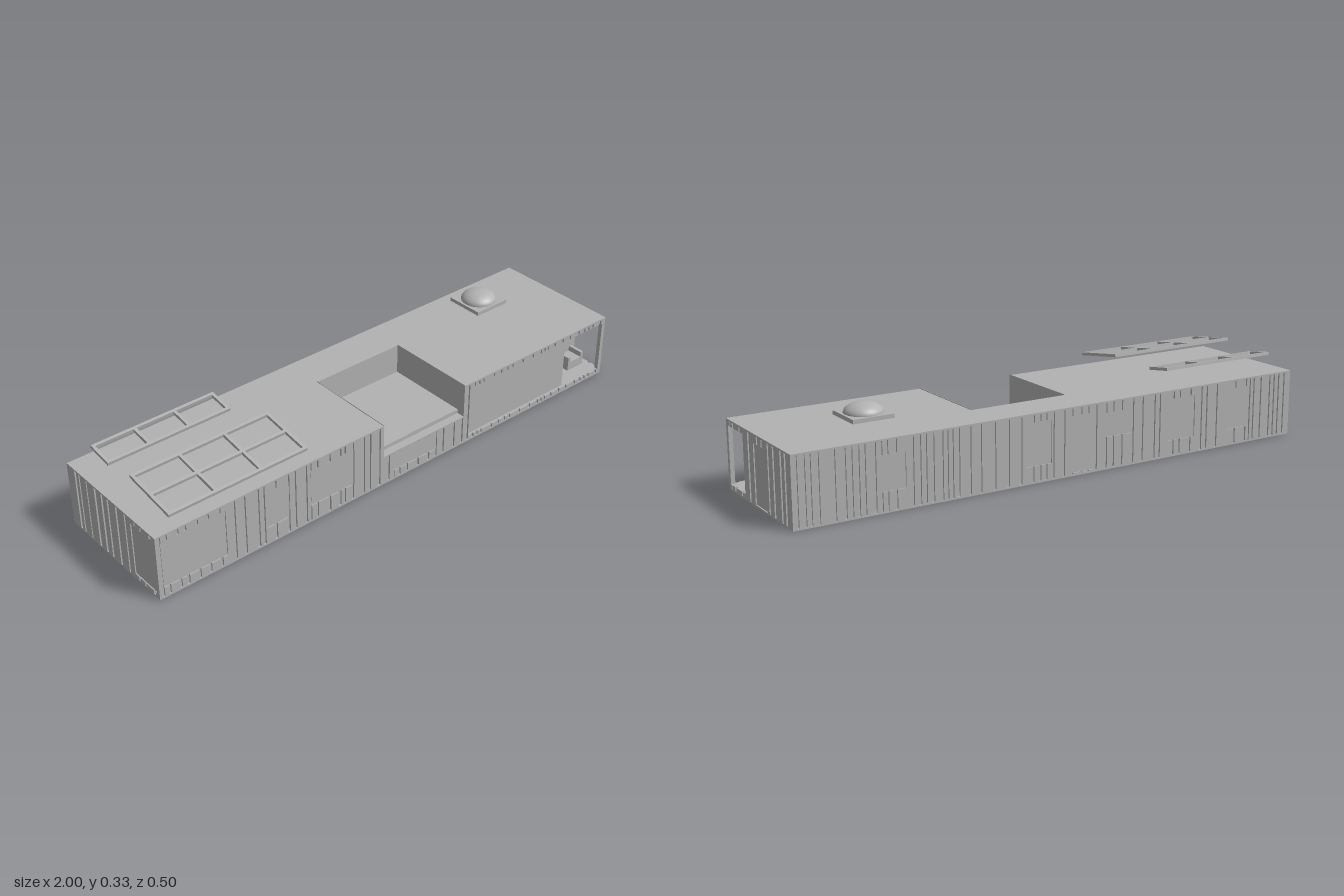
import * as THREE from 'three';

export function createModel() {
  const model = new THREE.Group();
  model.name = 'longHouse';
  const grey = new THREE.MeshStandardMaterial({ color: 0xb2b2b2 });
  grey.name = 'plainGrey';

  // Box given by its min and max on each axis
  function box(name, x0, x1, y0, y1, z0, z1, parent = model) {
    const m = new THREE.Mesh(new THREE.BoxGeometry(x1 - x0, y1 - y0, z1 - z0), grey);
    m.position.set((x0 + x1) / 2, (y0 + y1) / 2, (z0 + z1) / 2);
    m.name = name;
    parent.add(m);
    return m;
  }
  let seed = 7;
  const rand = () => (seed = (seed * 16807) % 2147483647) / 2147483647;

  const H = 0.242, B = 0.006, R = 0.236; // roof top, floor plate top, roof underside
  const C = 0.244, E = 0.994;            // wall core faces behind the cladding

  // Floor and roof plates
  box('floorPlate', -1, 1, 0, B, -0.25, 0.25);
  box('roofWest', -1, -0.09, R, H, -0.25, 0.25);
  box('roofMiddle', -0.09, 0.28, R, H, -0.25, -0.1);
  box('roofEast', 0.28, 1, R, H, -0.25, 0.25);

  // Wall cores
  box('westCore', -E, -0.09, B, R, -C, C);
  box('middleRearCore', -0.09, 0.28, B, R, -C, -0.1);
  box('terraceFloor', -0.09, 0.28, B, 0.13, -0.1, 0.22);
  box('terraceStepCore', -0.09, 0.28, B, 0.109, 0.22, C);
  box('terraceStep', -0.09, 0.28, 0.109, 0.115, 0.22, 0.25);
  box('eastRearCore', 0.28, E, B, R, -C, 0.115);
  box('bigWindow', 0.31, 0.8, 0.02, 0.22, 0.115, 0.238);
  box('eastPier', 0.28, 0.31, B, R, 0.115, C);
  box('eastSill', 0.31, E, B, 0.02, 0.115, C);
  box('eastLintel', 0.31, E, 0.22, R, 0.115, C);
  box('cornerPost', 0.985, 1, B, R, 0.235, 0.25);

  // Thin trims on the terrace side walls
  for (const x of [-0.092, 0.28]) box('terraceTrim', x, x + 0.002, 0.23, 0.245, -0.1, 0.25);

  // Openings per wall: [u0, u1, y0, y1, hasPanel], u running along the wall
  const walls = {
    front: [
      [-0.98, -0.74, 0.04, 0.215, 1], [-0.58, -0.49, 0.065, 0.205, 1],
      [-0.4, -0.22, 0.065, 0.205, 1], [-0.04, 0.155, 0.035, 0.105, 1],
      [-0.09, 0.28, 0.109, 0.25, 0], [0.31, 0.985, 0.02, 0.22, 0],
    ],
    back: [
      [0.61, 0.7, 0.07, 0.19, 1], [0.06, 0.165, 0.06, 0.21, 1],
      [-0.115, -0.02, 0.01, 0.21, 1], [-0.275, -0.16, 0.115, 0.2, 1],
      [-0.55, -0.43, 0.06, 0.21, 1], [-0.805, -0.7, 0.06, 0.21, 1],
    ],
    right: [[-0.063, 0.032, 0.006, 0.21, 1], [0.115, 0.235, 0.02, 0.22, 0]],
    left: [[0.115, 0.235, 0.02, 0.22, 1]],
  };

  // Places a slab on a wall, standing out by depth d from the core
  function onWall(side, name, u0, u1, y0, y1, d, parent) {
    if (side === 'front') box(name, u0, u1, y0, y1, C, C + d, parent);
    if (side === 'back') box(name, u0, u1, y0, y1, -C - d, -C, parent);
    if (side === 'right') box(name, E, E + d, y0, y1, u0, u1, parent);
    if (side === 'left') box(name, -E - d, -E, y0, y1, u0, u1, parent);
  }

  // Irregular vertical planks, cut around the openings
  for (const [side, openings] of Object.entries(walls)) {
    const cladding = new THREE.Group();
    cladding.name = side + 'Cladding';
    model.add(cladding);
    const end = side === 'front' || side === 'back' ? 1 : 0.25;
    const cuts = [-end, end, ...openings.flatMap(o => [o[0], o[1]])].sort((a, b) => a - b);
    for (let i = 0; i + 1 < cuts.length; i++) {
      const [a, b] = [cuts[i], cuts[i + 1]];
      if (b - a < 0.003) continue;
      // Vertical spans left free between a and b
      let spans = [[B, R]];
      for (const o of openings) {
        if (o[0] > a + 0.001 || o[1] < b - 0.001) continue;
        spans = spans.flatMap(([s, t]) => [[s, Math.min(t, o[2])], [Math.max(s, o[3]), t]])
          .filter(([s, t]) => t - s > 0.002);
      }
      for (let u = a; u < b;) {
        const w = Math.min(0.012 + 0.034 * rand() ** 1.5, b - u);
        for (const [s, t] of spans) onWall(side, 'plank', u, u + w, s, t, 0.006, cladding);
        u += w + 0.005 + 0.007 * rand();
      }
    }
    for (const o of openings) {
      if (o[4]) onWall(side, 'windowPanel', o[0], o[1], o[2], o[3], 0.002, model);
    }
  }

  // Armchair on the corner porch
  const chair = new THREE.Group();
  chair.name = 'armchair';
  model.add(chair);
  box('chairSeat', 0.903, 0.957, 0.02, 0.055, 0.125, 0.185, chair);
  box('chairBack', 0.89, 0.97, 0.02, 0.112, 0.115, 0.125, chair);
  for (const x of [0.89, 0.957]) box('chairArm', x, x + 0.013, 0.02, 0.075, 0.125, 0.185, chair);

  // Tilted open frames above the roof, split into cells
  function roofFrame(name, x0, x1, depth, rows, y, z, tilt) {
    const g = new THREE.Group();
    g.name = name;
    const t = 0.0055, h = 0.0055;
    for (let i = 0; i <= 3; i++) {
      const x = x0 + t + (x1 - x0 - 2 * t) * i / 3;
      box('frameBar', x - t, x + t, -h, h, -depth / 2, depth / 2, g);
    }
    for (let j = 0; j <= rows; j++) {
      const c = -depth / 2 + t + (depth - 2 * t) * j / rows;
      box('frameRail', x0, x1, -h, h, c - t, c + t, g);
    }
    g.position.set(0, y, z);
    g.rotation.x = tilt;
    model.add(g);
  }
  roofFrame('largeRoofFrame', -0.935, -0.403, 0.21, 2, 0.302, 0.132, 0.15);
  roofFrame('smallRoofFrame', -0.935, -0.46, 0.1, 1, 0.297, -0.15, 0.15);

  // Domed skylight on a square base
  box('skylightBase', 0.602, 0.748, 0.278, 0.292, -0.166, -0.02);
  const dome = new THREE.Mesh(new THREE.SphereGeometry(1, 40, 14, 0, Math.PI * 2, 0, Math.PI / 2), grey);
  dome.name = 'skylightDome';
  dome.scale.set(0.065, 0.034, 0.065);
  dome.position.set(0.675, 0.292, -0.093);
  model.add(dome);

  return model;
}
